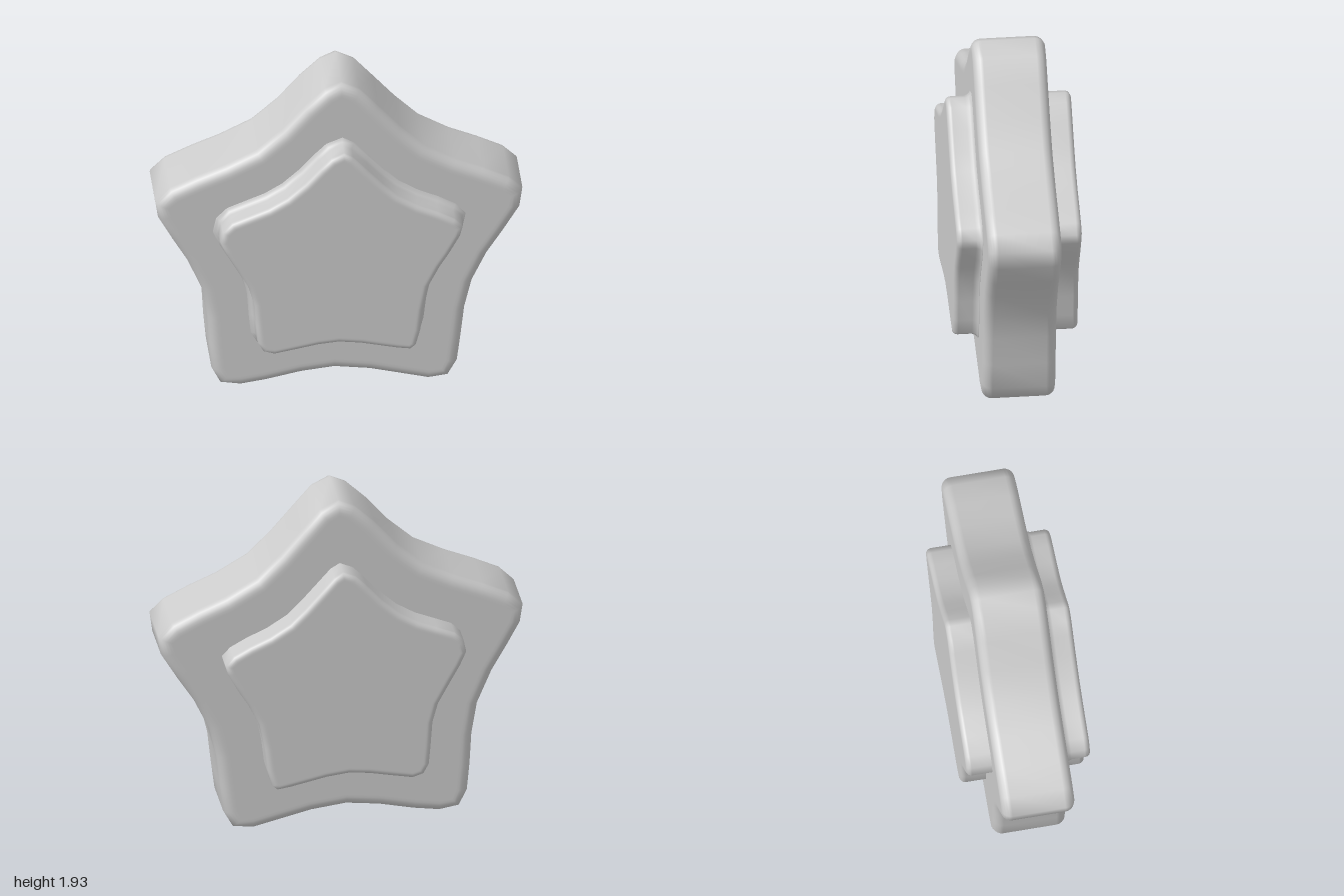
import * as THREE from 'three';

// Outlines run clockwise from the top tip as x, y pairs
const OUTER = [
  0.01, 1.935, 0.11, 1.885, 0.21, 1.77, 0.33, 1.63, 0.46, 1.5, 0.63, 1.4, 0.78, 1.335, 0.92, 1.265,
  0.995, 1.19, 0.98, 1.08, 0.89, 0.93, 0.8, 0.79, 0.72, 0.62, 0.68, 0.45, 0.66, 0.27, 0.64, 0.11,
  0.59, 0.02, 0.48, 0.005, 0.34, 0.04, 0.16, 0.085, -0.03, 0.11, -0.21, 0.09, -0.4, 0.05, -0.54, 0.03,
  -0.65, 0.05, -0.695, 0.14, -0.71, 0.3, -0.72, 0.48, -0.75, 0.66, -0.83, 0.85, -0.91, 0.99, -0.985, 1.13,
  -1, 1.23, -0.92, 1.31, -0.78, 1.375, -0.62, 1.44, -0.45, 1.525, -0.31, 1.65, -0.19, 1.79, -0.08, 1.895,
];
const INNER = [
  0.01, 1.58, 0.06, 1.55, 0.14, 1.46, 0.22, 1.37, 0.3, 1.29, 0.41, 1.22, 0.52, 1.17, 0.61, 1.12,
  0.655, 1.07, 0.64, 1.01, 0.58, 0.9, 0.53, 0.82, 0.47, 0.7, 0.44, 0.55, 0.425, 0.42, 0.4, 0.325,
  0.37, 0.3, 0.3, 0.31, 0.21, 0.33, 0.1, 0.355, -0.02, 0.37, -0.13, 0.36, -0.26, 0.335, -0.37, 0.315,
  -0.43, 0.335, -0.46, 0.39, -0.47, 0.5, -0.48, 0.64, -0.51, 0.75, -0.58, 0.88, -0.63, 0.97, -0.665, 1.05,
  -0.65, 1.12, -0.6, 1.17, -0.5, 1.21, -0.4, 1.25, -0.3, 1.31, -0.2, 1.4, -0.12, 1.49, -0.06, 1.55,
];

// Rounded rim as [inset, z] pairs, from the face edge (angle 90) to the side wall
function rim(half, r) {
  const out = [[r * 1.3, half]];
  for (let i = 0; i <= 5; i++) {
    const a = (Math.PI / 2) * (1 - i / 5);
    out.push([r * (1 - Math.cos(a)), half - r * (1 - Math.sin(a))]);
  }
  return out;
}

// Sweeps an outline through a back-to-front profile and closes both faces
function loft(outline, profile, cy) {
  const pts = [];
  for (let i = 0; i < outline.length; i += 2) pts.push(new THREE.Vector2(outline[i], outline[i + 1]));
  const n = pts.length;
  const inward = pts.map((p, i) => {
    const edge = (a, b) => new THREE.Vector2(b.y - a.y, a.x - b.x).normalize();
    return edge(pts[(i + n - 1) % n], p).add(edge(p, pts[(i + 1) % n])).normalize();
  });
  const pos = [], idx = [];
  for (const [inset, z] of profile)
    pts.forEach((p, i) => pos.push(p.x + inward[i].x * inset, p.y + inward[i].y * inset, z));
  const last = profile.length - 1;
  const back = pos.length / 3, front = back + 1;
  pos.push(0, cy, profile[0][1], 0, cy, profile[last][1]);
  for (let i = 0; i < n; i++) {
    const j = (i + 1) % n;
    for (let k = 0; k < last; k++) {
      const a = k * n + i, b = k * n + j;
      idx.push(a, a + n, b, b, a + n, b + n);
    }
    idx.push(back, i, j, front, last * n + j, last * n + i);
  }
  const g = new THREE.BufferGeometry();
  g.setAttribute('position', new THREE.Float32BufferAttribute(pos, 3));
  g.setIndex(idx);
  g.computeVertexNormals();
  return g;
}

export function createModel() {
  const group = new THREE.Group();
  const material = new THREE.MeshStandardMaterial({ color: 0xcccccc });
  const add = (name, geometry) => {
    const mesh = new THREE.Mesh(geometry, material);
    mesh.name = name;
    group.add(mesh);
  };
  const flip = (list) => list.map(([inset, z]) => [inset, -z]);

  // Thick star body with rounded rims
  const bodyRim = rim(0.2, 0.055);
  add('starBody', loft(OUTER, [...flip(bodyRim), ...bodyRim.slice().reverse()], 0.95));

  // Smaller raised stars: the front one has a soft fillet at its base
  const plateRim = rim(0.34, 0.03);
  const fillet = [[-0.035, 0.197], [-0.02, 0.203], [-0.007, 0.215], [0, 0.235]];
  add('frontStar', loft(INNER, [[0, 0.1], ...fillet, ...plateRim.slice().reverse()], 0.9));
  add('backStar', loft(INNER, [...flip(plateRim), [0, -0.2], [0, -0.1]], 0.9));
  return group;
}
